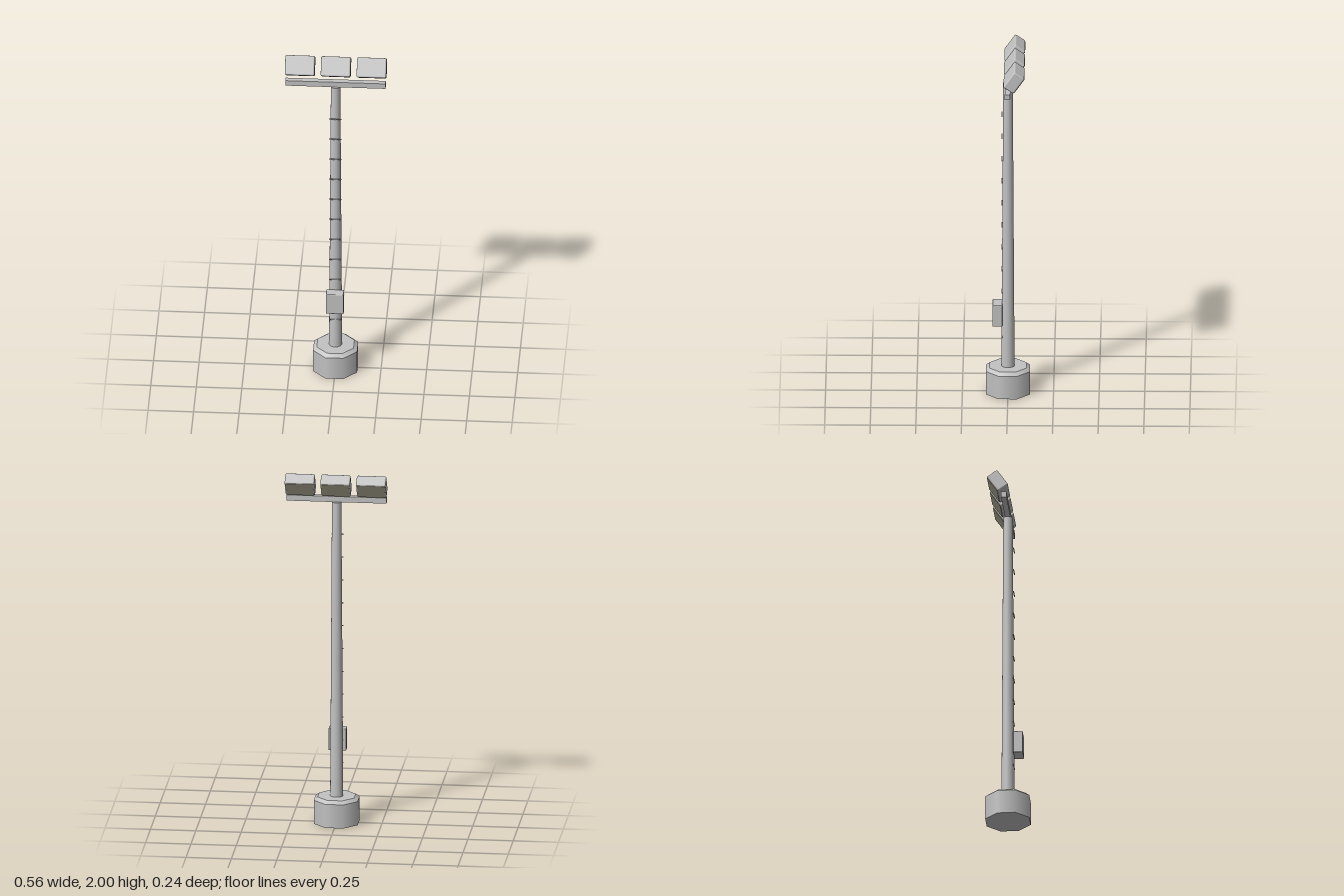
import * as THREE from 'three';
import { RoundedBoxGeometry } from 'three/addons/geometries/RoundedBoxGeometry.js';

export function createModel() {
  const model = new THREE.Group();
  model.name = 'floodlightMast';
  const grey = new THREE.MeshStandardMaterial({ name: 'paintedGrey', color: 0xc2c2c2 });
  const lens = new THREE.MeshStandardMaterial({ name: 'lampGlass', color: 0xbab59c });

  const add = (parent, name, geometry, material, x, y, z) => {
    const mesh = new THREE.Mesh(geometry, material);
    mesh.name = name;
    mesh.position.set(x, y, z);
    parent.add(mesh);
    return mesh;
  };

  // Octagonal footing with a chamfered top edge
  const footing = new THREE.CylinderGeometry(0.131, 0.131, 0.135, 8).rotateY(Math.PI / 8);
  add(model, 'footing', footing, grey, 0, 0.0675, 0);
  const chamfer = new THREE.CylinderGeometry(0.109, 0.131, 0.017, 8).rotateY(Math.PI / 8);
  add(model, 'footingChamfer', chamfer, grey, 0, 0.1435, 0);

  // Tapered pole and the crossbar at its top
  add(model, 'pole', new THREE.CylinderGeometry(0.026, 0.036, 1.686, 20), grey, 0, 0.993, 0);
  add(model, 'crossbar', new THREE.BoxGeometry(0.55, 0.032, 0.03), grey, 0, 1.854, 0);

  // Climbing rungs up the front of the pole
  const rung = new THREE.CylinderGeometry(0.003, 0.003, 0.066, 8).rotateZ(Math.PI / 2);
  for (let i = 0; i < 11; i++) add(model, 'rung', rung, grey, 0, 0.33 + i * 0.131, 0.033);

  // Control box on the front of the pole
  add(model, 'controlBox', new RoundedBoxGeometry(0.098, 0.127, 0.054, 2, 0.005), grey, 0, 0.462, 0.058);

  // Three tilted floodlights with glass on the lower back face
  const housing = new RoundedBoxGeometry(0.163, 0.11, 0.07, 3, 0.009);
  const glass = new THREE.BoxGeometry(0.15, 0.098, 0.004);
  for (const x of [-0.197, 0, 0.197]) {
    const lamp = new THREE.Group();
    lamp.name = 'floodlight';
    lamp.position.set(x, 1.939, -0.035);
    lamp.rotation.x = -0.61;
    add(lamp, 'housing', housing, grey, 0, 0, 0);
    add(lamp, 'glass', glass, lens, 0, 0, -0.0345);
    model.add(lamp);
  }
  return model;
}
